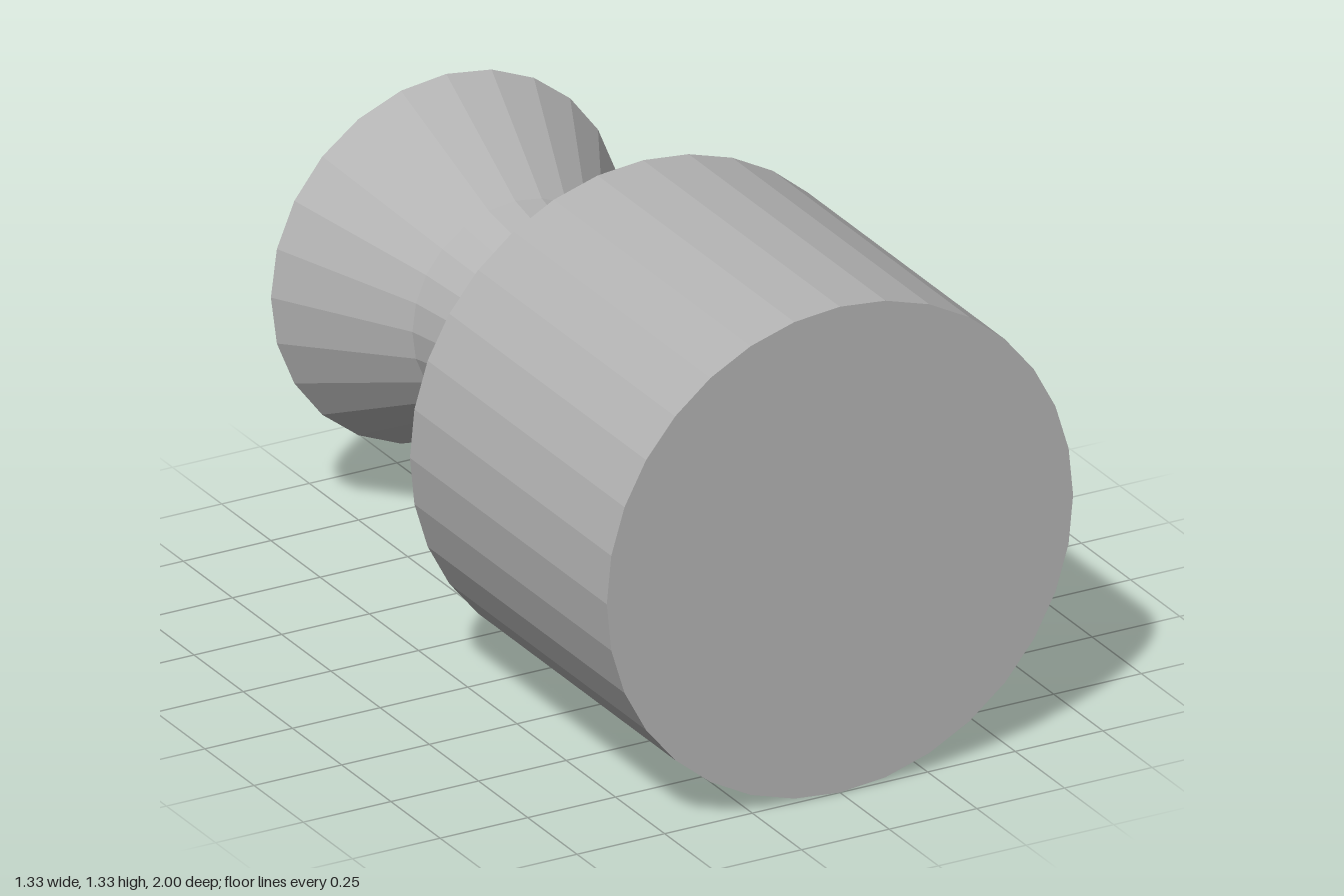
import * as THREE from 'three';

const RADIUS = 0.665; // body radius, also the height of the axis

export function createModel() {
  const group = new THREE.Group();
  const grey = new THREE.MeshStandardMaterial({ color: 0xb3b3b3 });
  grey.name = 'grey';
  grey.flatShading = true;

  // Ring-shaped section along z, from its front radius to its back radius
  function section(name, zFront, rFront, zBack, rBack, sides) {
    const geometry = new THREE.CylinderGeometry(rFront, rBack, zFront - zBack, sides, 1, true);
    geometry.rotateX(Math.PI / 2);
    const mesh = new THREE.Mesh(geometry, grey);
    mesh.name = name;
    mesh.position.set(0, RADIUS, (zFront + zBack) / 2);
    group.add(mesh);
  }

  // Flat disc closing one end; facing is +1 for front, -1 for back
  function cap(name, z, radius, sides, facing) {
    const geometry = new THREE.CircleGeometry(radius, sides, Math.PI / 2);
    if (facing < 0) geometry.rotateY(Math.PI);
    const mesh = new THREE.Mesh(geometry, grey);
    mesh.name = name;
    mesh.position.set(0, RADIUS, z);
    group.add(mesh);
  }

  // Body and its tapering shoulder
  cap('bodyFront', 1, RADIUS, 32, 1);
  section('body', 1, RADIUS, 0, RADIUS, 32);
  section('shoulder', 0, RADIUS, -0.3, 0.22, 32);

  // Neck and flared nozzle
  section('neck', -0.3, 0.22, -0.65, 0.293, 24);
  section('nozzle', -0.65, 0.293, -1, 0.5, 24);
  cap('nozzleBack', -1, 0.5, 24, -1);

  return group;
}
